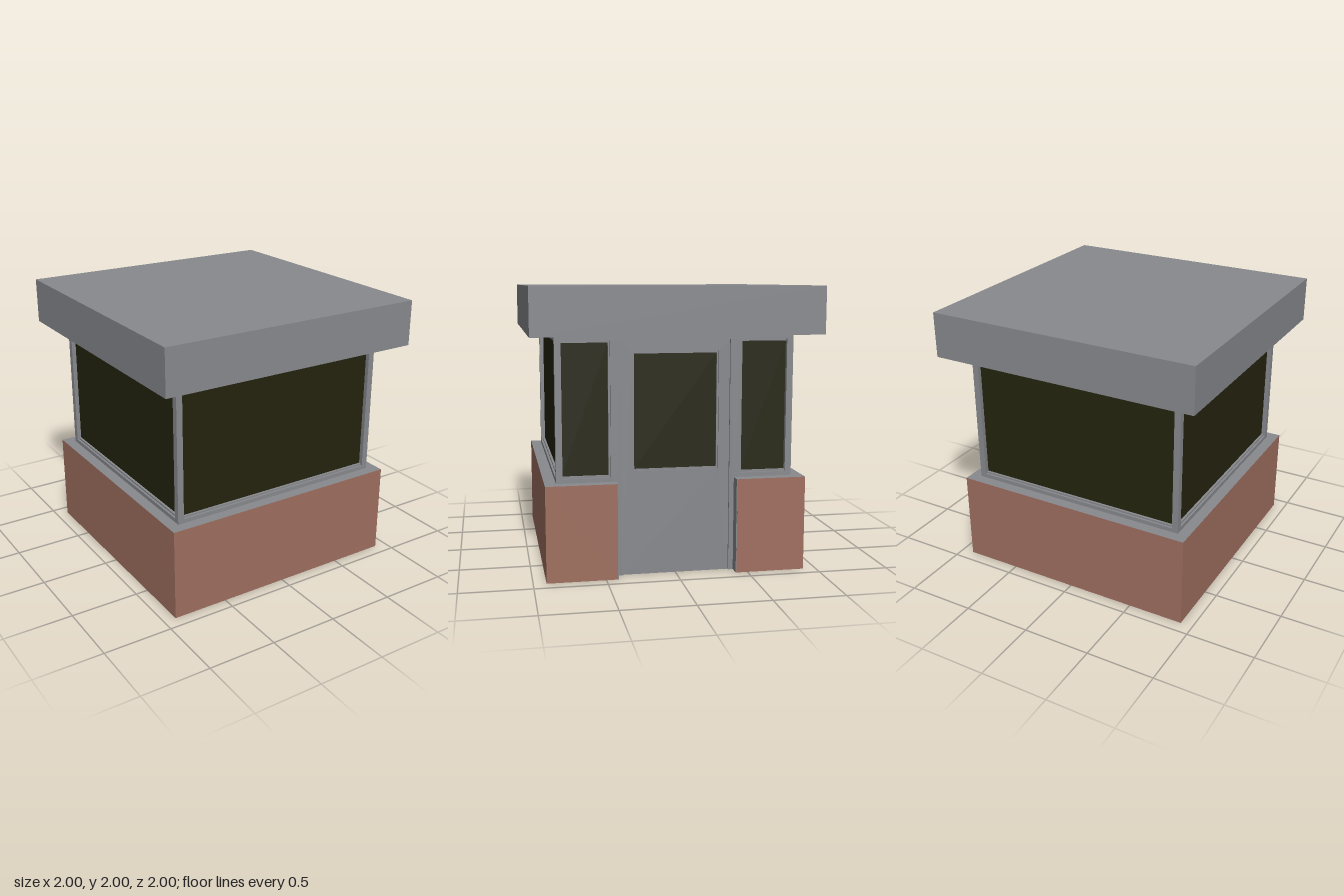
import * as THREE from 'three';

export function createModel() {
  const model = new THREE.Group();
  model.name = 'guardBooth';
  const mat = (name, color) => Object.assign(new THREE.MeshStandardMaterial({ color }), { name });
  const grey = mat('grey metal', 0x888a8e);
  const brick = mat('brick', 0xa07060);
  const glass = mat('dark glass', 0x25240f);

  const add = (parent, name, geometry, material) => {
    const mesh = new THREE.Mesh(geometry, material);
    mesh.name = name;
    parent.add(mesh);
    return mesh;
  };
  const box = (parent, name, material, x0, x1, y0, y1, z0, z1) =>
    add(parent, name, new THREE.BoxGeometry(x1 - x0, y1 - y0, z1 - z0), material)
      .position.set((x0 + x1) / 2, (y0 + y1) / 2, (z0 + z1) / 2);

  const points = (list) => list.map(([x, y]) => new THREE.Vector2(x, y));
  const rect = ([x0, x1, y0, y1]) => points([[x0, y0], [x1, y0], [x1, y1], [x0, y1]]);
  // Flat panel with rectangular openings, its outer face at z1
  const panel = (parent, name, outline, holes, z0, z1) => {
    const shape = new THREE.Shape(outline);
    holes.forEach((h) => shape.holes.push(new THREE.Path(rect(h).reverse())));
    const geometry = new THREE.ExtrudeGeometry(shape, { depth: z1 - z0, bevelEnabled: false });
    add(parent, name, geometry, grey).position.z = z0;
  };
  // Stepped bead and pane set inside an opening
  const glaze = (parent, name, hole, zBead) => {
    const b = 0.013;
    const pane = [hole[0] + b, hole[1] - b, hole[2] + b, hole[3] - b];
    panel(parent, name + 'Bead', rect(hole), [pane], 0.785, zBead);
    box(parent, name + 'Glass', glass, ...pane, 0.791, 0.798);
  };

  // Roof slab and inner core
  box(model, 'roof', grey, -1, 1, 1.67, 2, -1, 1);
  box(model, 'core', grey, -0.79, 0.79, 0.6, 1.67, -0.79, 0.79);

  // Brick base with a door notch on the +x side; caps are grey
  const plan = points([[-0.91, -0.91], [0.91, -0.91], [0.91, -0.42], [0.79, -0.42],
    [0.79, 0.42], [0.91, 0.42], [0.91, 0.91], [-0.91, 0.91]]);
  const baseGeometry = new THREE.ExtrudeGeometry(new THREE.Shape(plan), { depth: 0.67, bevelEnabled: false });
  baseGeometry.rotateX(-Math.PI / 2);
  add(model, 'brickBase', baseGeometry, [grey, brick]);
  for (const s of [-1, 1]) {
    const z = s * 0.4175;
    box(model, 'notchLining', grey, 0.79, 0.909, 0.001, 0.67, z - 0.0035, z + 0.0035);
  }

  // Three walls with one wide window each: front, back and -x side
  const wideWindow = [-0.8, 0.8, 0.7, 1.635];
  [['frontWall', 0], ['backWall', Math.PI], ['leftOfDoorlessWall', -Math.PI / 2]].forEach(([name, angle], i) => {
    const wall = new THREE.Group();
    wall.name = i === 2 ? 'sideWall' : name;
    wall.rotation.y = angle;
    panel(wall, 'windowFrame', rect([-0.83, 0.83, 0.67, 1.67]), [wideWindow], 0.785, 0.83);
    glaze(wall, 'window', wideWindow, 0.815);
    model.add(wall);
  });

  // Door wall on the +x side, with two narrow windows and jambs reaching the ground
  const doorWall = new THREE.Group();
  doorWall.name = 'doorWall';
  doorWall.rotation.y = Math.PI / 2;
  const outline = points([[-0.83, 0.67], [-0.42, 0.67], [-0.42, 0], [-0.38, 0], [-0.38, 1.635], [0.38, 1.635],
    [0.38, 0], [0.42, 0], [0.42, 0.67], [0.83, 0.67], [0.83, 1.67], [-0.83, 1.67]]);
  const narrow = [[-0.8, -0.455, 0.7, 1.635], [0.455, 0.8, 0.7, 1.635]];
  panel(doorWall, 'doorWallFrame', outline, narrow, 0.785, 0.83);
  narrow.forEach((hole) => glaze(doorWall, 'narrowWindow', hole, 0.815));

  // Door leaf, slightly recessed
  const doorWindow = [-0.302, 0.302, 0.735, 1.557];
  panel(doorWall, 'doorLeaf', rect([-0.38, 0.38, 0, 1.635]), [doorWindow], 0.785, 0.815);
  glaze(doorWall, 'doorWindow', doorWindow, 0.805);
  model.add(doorWall);

  return model;
}
